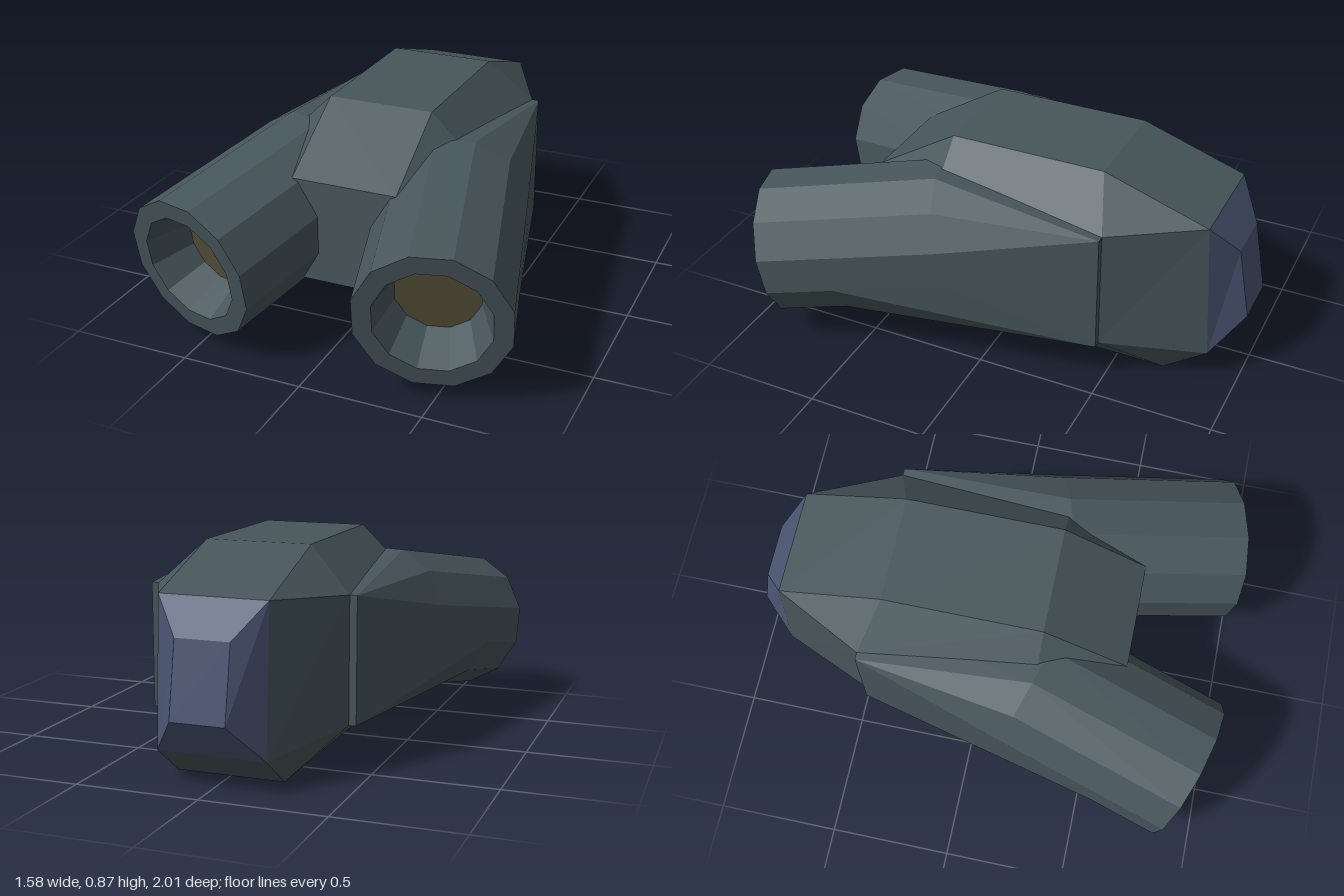
import * as THREE from 'three';

const V = (x, y, z) => new THREE.Vector3(x, y, z);
const flat = (name, color) => {
  const m = new THREE.MeshStandardMaterial({ color });
  m.name = name;
  m.flatShading = true;
  return m;
};

// Skin a list of rings (counter-clockwise seen from the front), with optional caps
function loft(rings, { front = false, back = false, mirror = false } = {}) {
  const pos = [];
  const tri = (a, b, c) => {
    if (b.clone().sub(a).cross(c.clone().sub(a)).length() < 1e-6) return;
    const pts = mirror ? [a, c, b] : [a, b, c];
    for (const p of pts) pos.push(mirror ? -p.x : p.x, p.y, p.z);
  };
  const n = rings[0].length;
  for (let r = 0; r + 1 < rings.length; r++) {
    const a = rings[r], b = rings[r + 1];
    for (let i = 0; i < n; i++) {
      const j = (i + 1) % n;
      tri(a[i], b[i], b[j]);
      tri(a[i], b[j], a[j]);
    }
  }
  const last = rings[rings.length - 1];
  for (let i = 1; i + 1 < n; i++) {
    if (front) tri(rings[0][0], rings[0][i], rings[0][i + 1]);
    if (back) tri(last[0], last[i + 1], last[i]);
  }
  const g = new THREE.BufferGeometry();
  g.setAttribute('position', new THREE.Float32BufferAttribute(pos, 3));
  g.computeVertexNormals();
  return g;
}

// Eight-point hull section; each corner is [x, y, z] on the +x side, bottom to top
function section(bottom, low, high, top) {
  const half = [bottom, low, high, top].map((p) => V(...p));
  return [...half, ...half.slice().reverse().map((p) => V(-p.x, p.y, p.z))];
}

// Splayed, drooping barrel frame
const BARREL = new THREE.Euler(THREE.MathUtils.degToRad(9.8), THREE.MathUtils.degToRad(15), 0, 'YXZ');
const MUZZLE = V(0.505, 0.35, 0.92);
const barrelPoint = (k, radius, depth) => {
  const t = THREE.MathUtils.degToRad(15 + 30 * k);
  return V(radius * Math.cos(t), radius * Math.sin(t), -depth).applyEuler(BARREL).add(MUZZLE);
};

export function createModel() {
  const model = new THREE.Group();
  const hullMat = flat('slate hull', 0x47565b);
  const blueMat = flat('blue rear', 0x4a5572);
  const lensMat = flat('olive lens', 0x545039);

  const add = (name, geometry, material) => {
    const mesh = new THREE.Mesh(geometry, material);
    mesh.name = name;
    model.add(mesh);
  };

  // Central chamfered hull
  add('hull', loft([
    section([0.22, 0.22, 0.59], [0.22, 0.22, 0.59], [0.22, 0.65, 0.59], [0.22, 0.65, 0.59]),
    section([0.22, 0, 0.24], [0.4, 0.18, 0.24], [0.4, 0.69, 0.24], [0.22, 0.865, 0.24]),
    section([0.22, 0, -0.41], [0.4, 0.18, -0.48], [0.4, 0.69, -0.48], [0.22, 0.865, -0.41]),
    section([0.22, 0, -0.7], [0.4, 0.18, -0.48], [0.4, 0.69, -0.48], [0.22, 0.865, -0.41]),
    section([0.22, 0.13, -0.88], [0.22, 0.13, -0.88], [0.22, 0.72, -0.845], [0.22, 0.72, -0.845]),
  ], { front: true }), hullMat);

  // Tapered rear cap
  const rect = (x, y0, z0, y1, z1) => [V(x, y0, z0), V(x, y1, z1), V(-x, y1, z1), V(-x, y0, z0)];
  add('rearCap', loft([
    rect(0.22, 0.13, -0.88, 0.72, -0.845),
    rect(0.11, 0.28, -1, 0.58, -0.945),
  ], { back: true }), blueMat);

  // Barrel edges: [angle step, length, back corner of the fairing]
  const A = V(0.43, 0.69, -0.48), B = V(0.43, 0.18, -0.48);
  const innerA = V(0.25, 0.69, -0.48), innerB = V(0.25, 0.18, -0.48);
  const edges = [
    [0, 0.75, A], [1, 0.75, A], [2, 0.75, A], [3, 0.75, innerA],
    [4, 0.75, innerA], [5, 0.75, innerA], [6, 0.75, innerB], [7, 0.4, innerB],
    [8, 0.3, innerB], [9, 0.3, B], [10, 0.29, B], [11, 0.29, B], [11, 0.75, B],
  ];
  const ring = (radius, depth) => edges.map(([k]) => barrelPoint(k, radius, depth));

  for (const [side, mirror] of [['left', false], ['right', true]]) {
    // Funnel, rim, barrel and the fairing that blends it into the hull
    add(side + 'Barrel', loft([
      ring(0.168, 0.175),
      ring(0.228, 0),
      ring(0.303, 0),
      edges.map(([k, length]) => barrelPoint(k, 0.303, length)),
      edges.map((e) => e[2]),
    ], { back: true, mirror }), hullMat);
    // Recessed lens
    add(side + 'Lens', loft([ring(0.168, 0.175)], { front: true, mirror }), lensMat);
  }
  return model;
}
